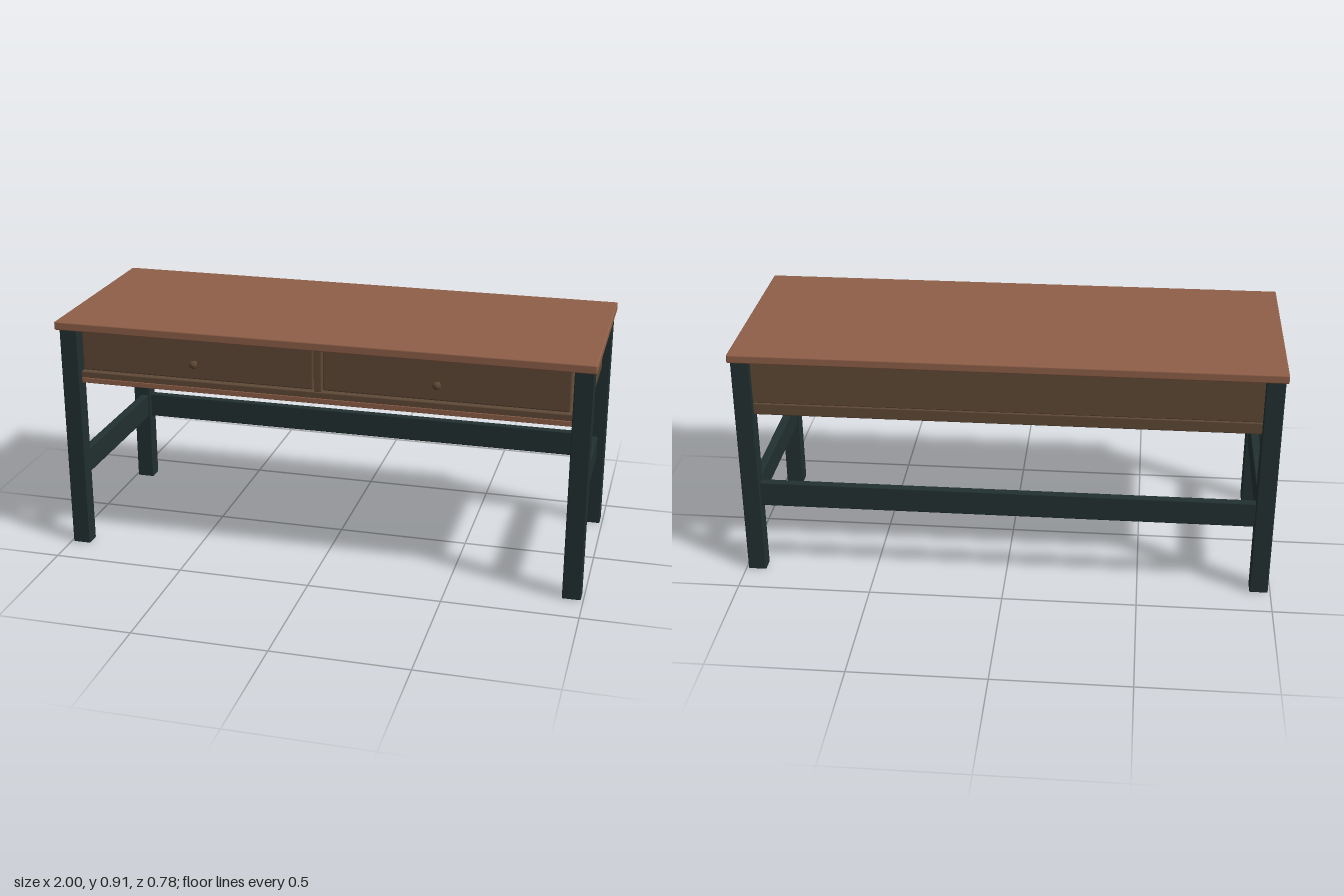
import * as THREE from 'three';
import { RoundedBoxGeometry } from 'three/addons/geometries/RoundedBoxGeometry.js';

const mat = (name, color) => {
  const m = new THREE.MeshStandardMaterial({ color });
  m.name = name;
  return m;
};

export function createModel() {
  const redWood = mat('reddish wood', 0x8f5f48);
  const brownWood = mat('brown wood', 0x5f4936);
  const darkPaint = mat('dark green paint', 0x223030);

  const table = new THREE.Group();
  table.name = 'desk';

  // Softly rounded board given by its limits on each axis
  const board = (name, material, [x0, x1], [y0, y1], [z0, z1], r = 0.004) => {
    const geo = new RoundedBoxGeometry(x1 - x0, y1 - y0, z1 - z0, 2, r);
    const mesh = new THREE.Mesh(geo, material);
    mesh.name = name;
    mesh.position.set((x0 + x1) / 2, (y0 + y1) / 2, (z0 + z1) / 2);
    table.add(mesh);
  };

  board('tableTop', redWood, [-1, 1], [0.876, 0.908], [-0.39, 0.39], 0.005);

  // Left and right: legs, low side rail and side panel
  for (const s of [-1, 1]) {
    const span = (a, b) => (s > 0 ? [a, b] : [-b, -a]);
    board('frontLeg', darkPaint, span(0.922, 0.991), [0, 0.876], [0.309, 0.367]);
    board('backLeg', darkPaint, span(0.922, 0.991), [0, 0.876], [-0.376, -0.318]);
    board('sideRail', darkPaint, span(0.93, 0.961), [0.277, 0.374], [-0.32, 0.311]);
    board('sidePanel', brownWood, span(0.93, 0.961), [0.707, 0.873], [-0.32, 0.311]);
  }

  // Back rail and back panel
  board('backRail', darkPaint, [-0.925, 0.925], [0.277, 0.374], [-0.363, -0.332]);
  board('backPanel', brownWood, [-0.925, 0.925], [0.707, 0.873], [-0.361, -0.33]);

  // Bottom of the drawer case, reaching between the legs on all sides
  board('caseBottom', brownWood, [-0.925, 0.925], [0.66, 0.705], [-0.361, 0.342]);
  board('caseBottomSides', brownWood, [-0.96, 0.96], [0.66, 0.705], [-0.32, 0.311]);
  board('frontLip', redWood, [-0.922, 0.922], [0.661, 0.681], [0.338, 0.345], 0.002);

  // Drawers on either side of the divider
  board('divider', brownWood, [-0.016, 0.012], [0.705, 0.873], [-0.33, 0.341], 0.002);
  for (const [x0, x1, knobX] of [[-0.917, -0.02, -0.47], [0.016, 0.912, 0.44]]) {
    board('drawerFront', brownWood, [x0, x1], [0.71, 0.873], [0.31, 0.336], 0.006);

    // Turned knob on a short neck
    const profile = [[0, 0], [0.008, 0], [0.007, 0.012], [0.013, 0.017],
      [0.016, 0.024], [0.013, 0.031], [0, 0.034]].map(([r, y]) => new THREE.Vector2(r, y));
    const knob = new THREE.Mesh(new THREE.LatheGeometry(profile, 20), brownWood);
    knob.name = 'knob';
    knob.rotation.x = Math.PI / 2;
    knob.position.set(knobX, 0.775, 0.336);
    table.add(knob);
  }

  return table;
}
